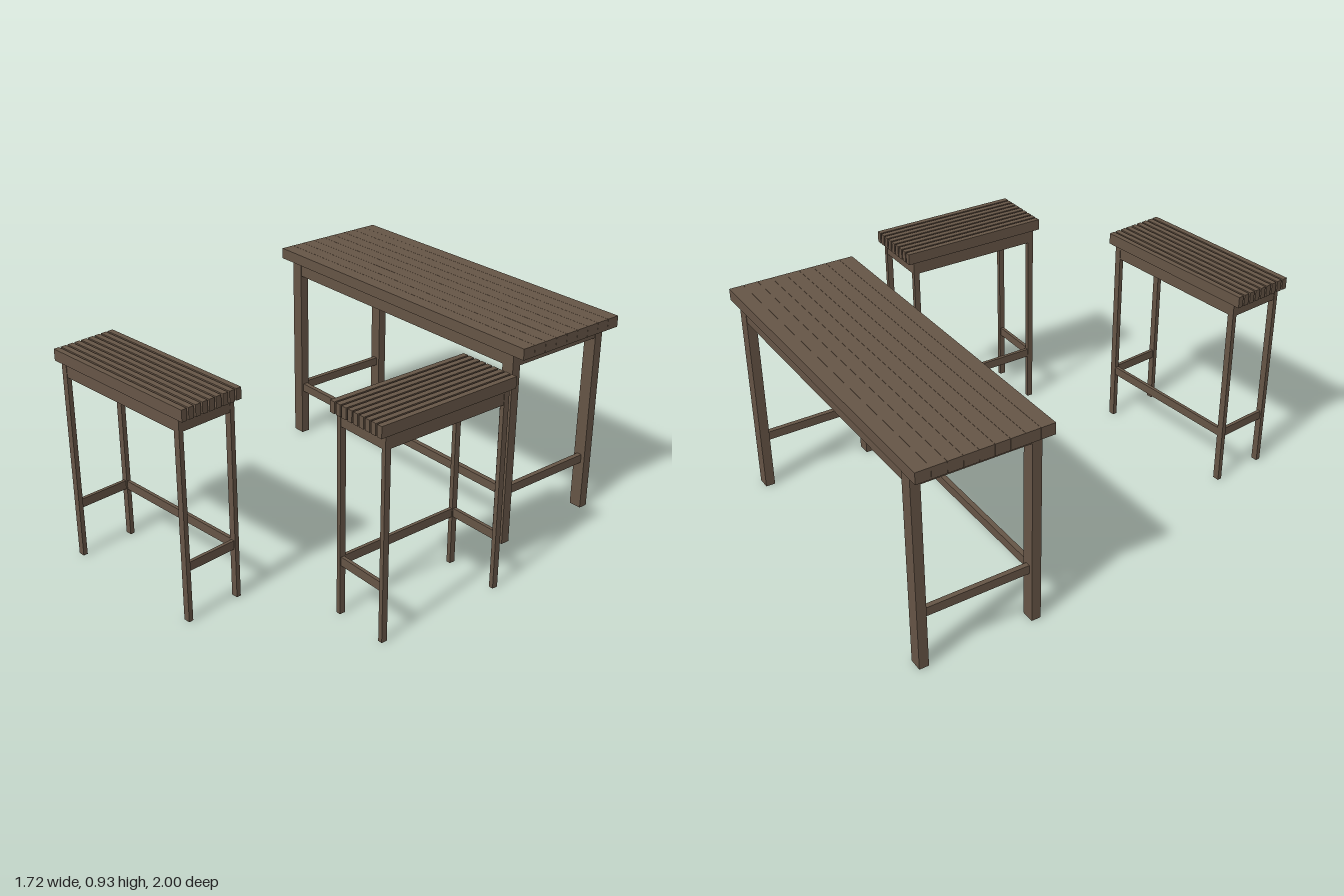
import * as THREE from 'three';

const wood = new THREE.MeshStandardMaterial({ color: 0x665546 });
wood.name = 'brown wood';

function box(parent, name, size, pos) {
  const mesh = new THREE.Mesh(new THREE.BoxGeometry(...size), wood);
  mesh.name = name;
  mesh.position.set(...pos);
  parent.add(mesh);
}

// Slatted top on a solid apron block and four legs, with one long stretcher at stretcherSide (+1 front, -1 back)
function slattedTable({ name, length, width, gap, legX, legZ, legW, legD, rail, stretcherSide, x, z, turn }) {
  const g = new THREE.Group();
  g.name = name;
  const SLATS = 9, topY = 0.925, underY = 0.876, railY = 0.24, railH = 0.039, apronH = 0.058;

  // top slats running lengthwise
  const slatW = (width - gap * (SLATS - 1)) / SLATS;
  for (let i = 0; i < SLATS; i++) {
    const sz = -width / 2 + slatW / 2 + i * (slatW + gap);
    box(g, 'topSlat', [length, topY - underY, slatW], [0, (topY + underY) / 2, sz]);
  }

  // solid apron block carrying the slats
  box(g, 'apronBlock', [2 * legX + legW - 0.004, apronH, 2 * legZ + legD - 0.004], [0, underY - apronH / 2, 0]);

  // legs and low end rails
  for (const sx of [-1, 1]) {
    for (const sz of [-1, 1])
      box(g, 'leg', [legW, underY, legD], [sx * legX, underY / 2, sz * legZ]);
    box(g, 'endStretcher', [rail, railH, 2 * legZ - legD], [sx * legX, railY, 0]);
  }
  box(g, 'longStretcher', [2 * legX - legW, railH, rail], [0, railY, stretcherSide * legZ]);

  g.position.set(x, 0, z);
  g.rotation.y = turn;
  return g;
}

export function createModel() {
  const model = new THREE.Group();
  model.name = 'tableAndStools';
  model.add(
    slattedTable({
      name: 'highTable', length: 1.56, width: 0.561, gap: 0.001, legX: 0.686, legZ: 0.247,
      legW: 0.058, legD: 0.041, rail: 0.022, stretcherSide: 1, x: -0.073, z: -0.70, turn: -0.025,
    }),
    slattedTable({
      name: 'frontStool', length: 0.784, width: 0.284, gap: 0.008, legX: 0.345, legZ: 0.123,
      legW: 0.029, legD: 0.02, rail: 0.015, stretcherSide: -1, x: -0.121, z: 0.826, turn: 0.077,
    }),
    slattedTable({
      name: 'sideStool', length: 0.671, width: 0.284, gap: 0.008, legX: 0.296, legZ: 0.124,
      legW: 0.026, legD: 0.02, rail: 0.015, stretcherSide: -1, x: 0.707, z: 0.146, turn: Math.PI / 2 - 0.024,
    }),
  );
  return model;
}
